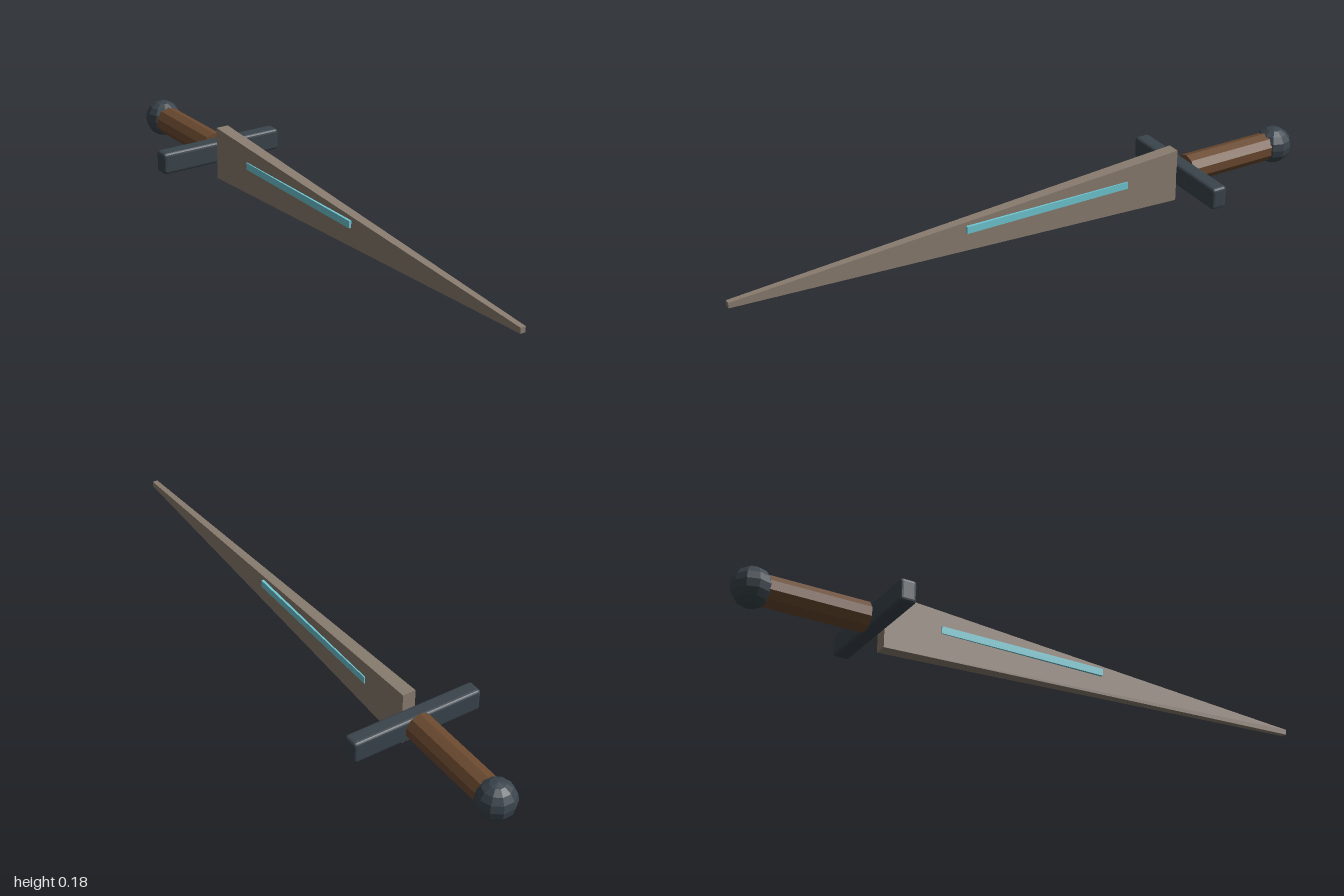
import * as THREE from 'three';
import { RoundedBoxGeometry } from 'three/addons/geometries/RoundedBoxGeometry.js';

export function createModel() {
  const sword = new THREE.Group();
  sword.name = 'sword';

  const material = (name, color) => {
    const m = new THREE.MeshStandardMaterial({ color, flatShading: true });
    m.name = name;
    return m;
  };
  const steel = material('warm steel', 0x8a7d70);
  const iron = material('dark iron', 0x3a444c);
  const wood = material('brown wood', 0x6b4a30);
  const glow = material('pale cyan', 0x70c8d4);

  const add = (name, geometry, mat, x, y, z) => {
    const mesh = new THREE.Mesh(geometry, mat);
    mesh.name = name;
    mesh.position.set(x, y, z);
    sword.add(mesh);
    return mesh;
  };

  // Blade: a box whose front end is drawn in to a small square tip
  const blade = new THREE.BoxGeometry(0.044, 0.18, 1.53);
  const p = blade.attributes.position;
  for (let i = 0; i < p.count; i++) {
    if (p.getZ(i) > 0) {
      p.setX(i, Math.sign(p.getX(i)) * 0.009);
      p.setY(i, p.getY(i) > 0 ? -0.01 : -0.028);
    }
  }
  blade.computeVertexNormals();
  add('blade', blade, steel, 0, 0.09, 0.235);

  // Inlaid strip on each face of the blade
  for (const side of [-1, 1]) {
    add(side > 0 ? 'leftInlay' : 'rightInlay',
      new THREE.BoxGeometry(0.009, 0.024, 0.58), glow, side * 0.0195, 0.105, -0.05);
  }

  // Crossguard with softened edges
  add('crossguard', new RoundedBoxGeometry(0.446, 0.074, 0.054, 2, 0.011), iron, 0, 0.0905, -0.556);

  // Ten-sided grip
  const grip = new THREE.CylinderGeometry(0.0475, 0.0475, 0.33, 10);
  grip.rotateX(Math.PI / 2);
  add('grip', grip, wood, 0, 0.0925, -0.748);

  // Round pommel
  add('pommel', new THREE.SphereGeometry(0.062, 10, 8), iron, 0, 0.0925, -0.938);

  return sword;
}
